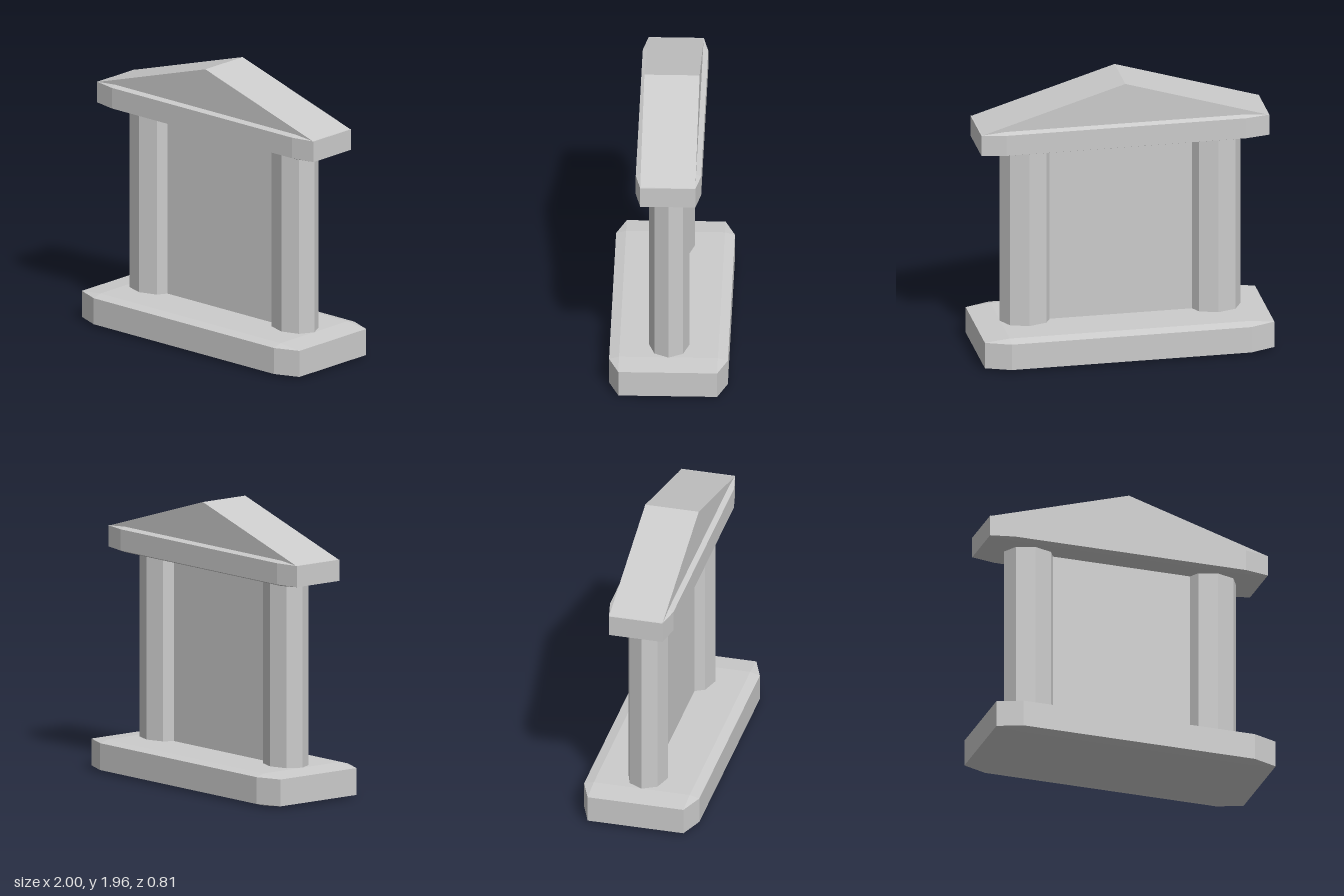
import * as THREE from 'three';
import { ConvexGeometry } from 'three/addons/geometries/ConvexGeometry.js';

const stone = new THREE.MeshStandardMaterial({ color: 0xcccccc, flatShading: true });

function add(group, name, geometry, x = 0, y = 0, z = 0) {
  const mesh = new THREE.Mesh(geometry, stone);
  mesh.name = name;
  mesh.position.set(x, y, z);
  group.add(mesh);
  return mesh;
}

// Box with chamfered edges: half sizes h, half sizes of the flat faces f
function chamferedBox(h, f) {
  const points = [];
  for (const sx of [-1, 1]) for (const sy of [-1, 1]) for (const sz of [-1, 1]) {
    for (let axis = 0; axis < 3; axis++) {
      const p = f.map((v, i) => (i === axis ? h[i] : v));
      points.push(new THREE.Vector3(sx * p[0], sy * p[1], sz * p[2]));
    }
  }
  return new ConvexGeometry(points);
}

export function createModel() {
  const group = new THREE.Group();

  // Stepped slabs below and above the columns
  add(group, 'base', chamferedBox([1, 0.111, 0.403], [0.828, 0.0925, 0.335]), 0, 0.111, 0);
  add(group, 'lintel', chamferedBox([0.995, 0.0875, 0.222], [0.828, 0.073, 0.187]), 0, 1.583, 0);

  // Thin wall between the columns
  add(group, 'wall', new THREE.BoxGeometry(1.3, 1.3, 0.062), 0, 0.86, 0);

  // Octagonal columns, slightly flattened front to back
  for (const side of [-1, 1]) {
    const column = add(group, side > 0 ? 'leftColumn' : 'rightColumn',
      new THREE.CylinderGeometry(1, 1, 1.3, 8), side * 0.653, 0.86, 0);
    column.scale.set(0.178, 1, 0.138);
  }

  // Gabled roof
  const gable = new THREE.Shape([
    new THREE.Vector2(-0.992, 1.655),
    new THREE.Vector2(0.992, 1.655),
    new THREE.Vector2(0, 1.957),
  ]);
  add(group, 'roof', new THREE.ExtrudeGeometry(gable, { depth: 0.374, bevelEnabled: false }), 0, 0, -0.187);

  return group;
}
